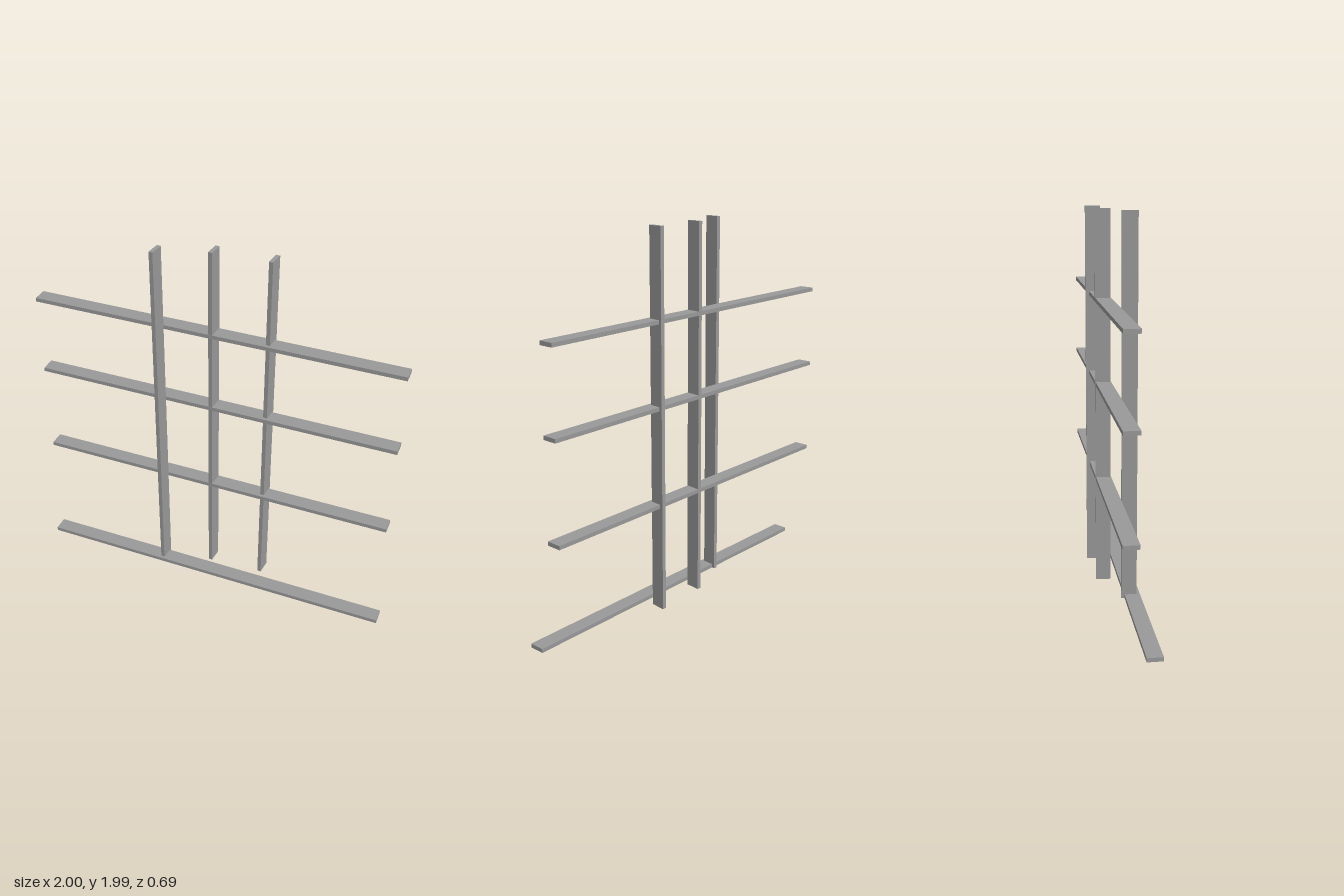
import * as THREE from 'three';

export function createModel() {
  const model = new THREE.Group();
  const material = new THREE.MeshStandardMaterial({ color: 0x999999, flatShading: true });

  function board(name, size, position, degrees) {
    const mesh = new THREE.Mesh(new THREE.BoxGeometry(...size), material);
    mesh.name = name;
    mesh.position.set(...position);
    mesh.rotation.y = THREE.MathUtils.degToRad(degrees);
    model.add(mesh);
  }

  // Long horizontal boards: one on the ground, three shelves set back from it
  const length = 1.984, depth = 0.08, thickness = 0.021;
  board('baseBoard', [length, thickness, depth], [0.031, thickness / 2, 0.052], 15);
  [0.573, 1.091, 1.529].forEach((y, i) =>
    board('shelf' + (i + 1), [length, thickness, depth], [-0.031, y, -0.052], 15));

  // Upright boards, staggered in depth and turned a little less than the shelves
  const height = 1.99;
  [[-0.256, 0.112], [-0.031, -0.053], [0.252, -0.146]].forEach(([x, z], i) =>
    board('upright' + (i + 1), [thickness, height, depth], [x, height / 2, z], 10));

  return model;
}
